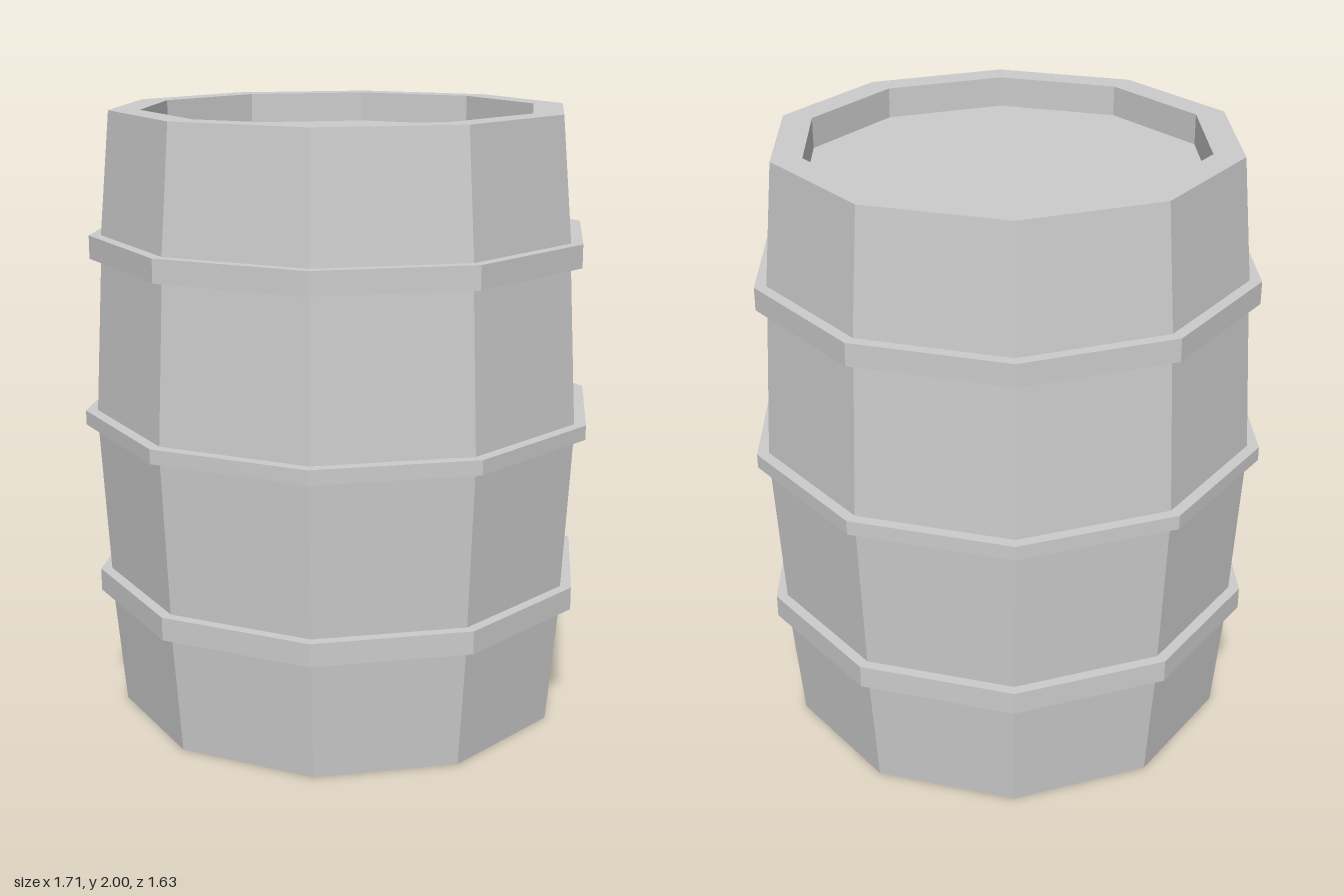
import * as THREE from 'three';

const SIDES = 10;
const material = new THREE.MeshStandardMaterial({ color: 0xcccccc, flatShading: true });

// Ten-sided turned part from [radius, height] points, with a corner on the x axis
function turned(name, profile) {
  const points = profile.map(([r, y]) => new THREE.Vector2(r, y));
  const mesh = new THREE.Mesh(new THREE.LatheGeometry(points, SIDES, Math.PI / 2), material);
  mesh.name = name;
  return mesh;
}

// Closed rectangular band around the staves
function hoop(name, bottom, top, inner, outer) {
  return turned(name, [[inner, bottom], [outer, bottom], [outer, top], [inner, top], [inner, bottom]]);
}

export function createModel() {
  const barrel = new THREE.Group();
  barrel.name = 'barrel';

  // Bulging staves with a recessed head at each end
  barrel.add(turned('barrelBody', [
    [0, 0.1], [0.65, 0.1], [0.65, 0], [0.75, 0],
    [0.786, 0.4], [0.788, 0.475], [0.816, 0.98],
    [0.816, 1.025], [0.788, 1.53], [0.786, 1.605],
    [0.75, 2], [0.65, 2], [0.65, 1.9], [0, 1.9],
  ]));

  // Three hoops, the middle one thinner and wider
  barrel.add(hoop('lowerHoop', 0.4, 0.475, 0.77, 0.825));
  barrel.add(hoop('middleHoop', 0.98, 1.027, 0.8, 0.855));
  barrel.add(hoop('upperHoop', 1.53, 1.605, 0.77, 0.825));

  return barrel;
}
